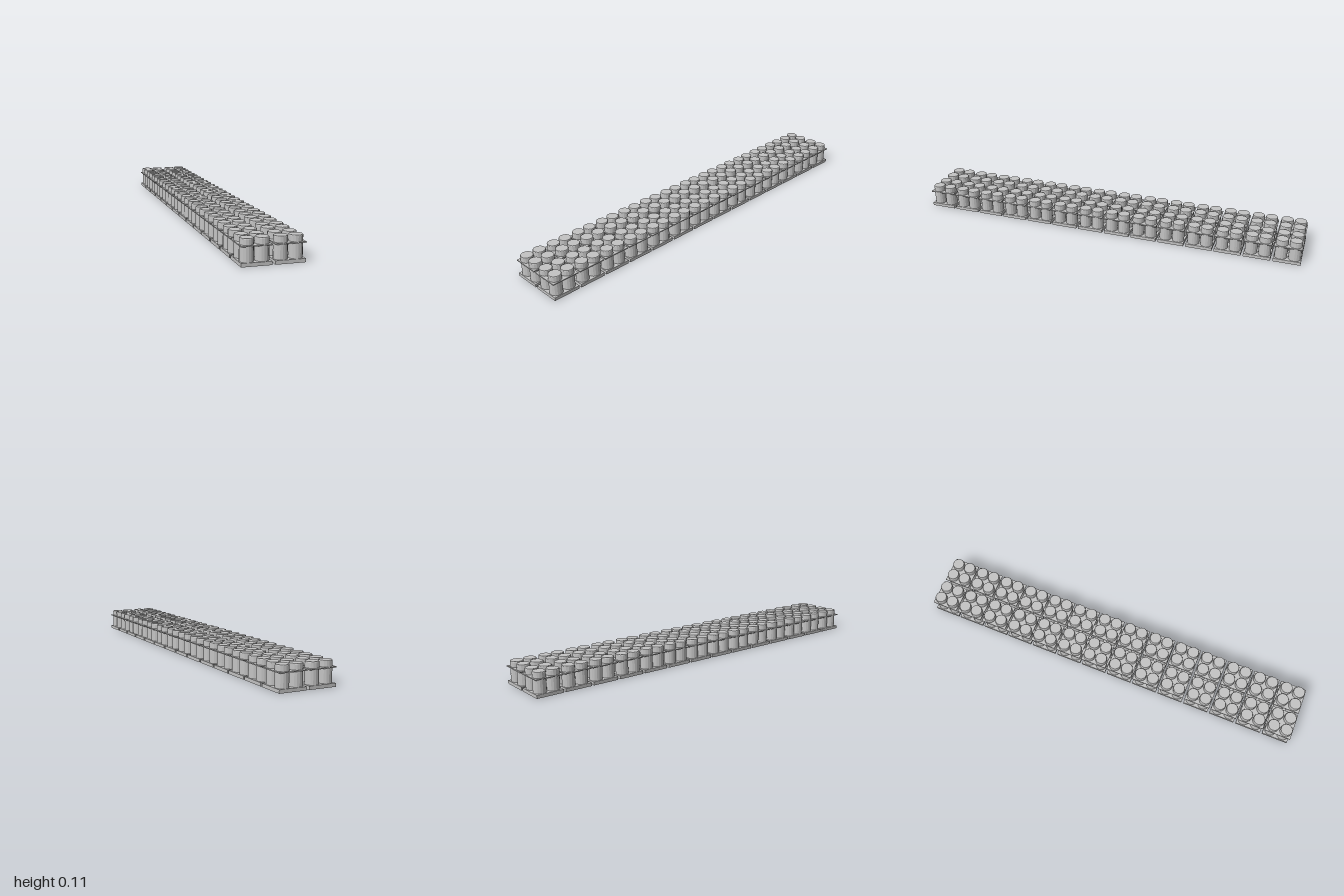
import * as THREE from 'three';

const PALLET = 0.132, SHEET = 0.134;
const ROWS = 14, PITCH_X = 0.145, PITCH_Z = (2 - SHEET) / (ROWS - 1);
const DRUM_R = 0.0302, DRUM_OFFSET = 0.033;
const BASE_H = 0.016, TOP = 0.114;

export function createModel() {
  const model = new THREE.Group();
  model.name = 'drumPallets';
  const grey = new THREE.MeshStandardMaterial({ color: 0xc4c4c4, flatShading: true });
  grey.name = 'light grey';

  // Shared geometries: base board, retaining sheet, chamfered drum
  const baseGeo = new THREE.BoxGeometry(PALLET, BASE_H, PALLET);
  const sheetGeo = new THREE.BoxGeometry(SHEET, 0.005, SHEET);
  const drumGeo = new THREE.LatheGeometry([
    new THREE.Vector2(DRUM_R, BASE_H),
    new THREE.Vector2(DRUM_R, TOP - 0.003),
    new THREE.Vector2(DRUM_R - 0.0015, TOP),
    new THREE.Vector2(0, TOP),
  ], 16);

  const add = (group, geo, name, x, y, z) => {
    const mesh = new THREE.Mesh(geo, grey);
    mesh.name = name;
    mesh.position.set(x, y, z);
    group.add(mesh);
  };

  // One loaded pallet: four drums standing through a thin sheet
  const pallet = new THREE.Group();
  add(pallet, baseGeo, 'palletBase', 0, BASE_H / 2, 0);
  add(pallet, sheetGeo, 'retainingSheet', 0, 0.084, 0);
  for (const sx of [-1, 1]) {
    for (const sz of [-1, 1]) add(pallet, drumGeo, 'drum', sx * DRUM_OFFSET, 0, sz * DRUM_OFFSET);
  }

  // Two columns of fourteen pallets
  for (const side of [-1, 1]) {
    for (let i = 0; i < ROWS; i++) {
      const copy = pallet.clone();
      copy.name = 'loadedPallet';
      copy.position.set(side * PITCH_X / 2, 0, (i - (ROWS - 1) / 2) * PITCH_Z);
      model.add(copy);
    }
  }
  return model;
}
